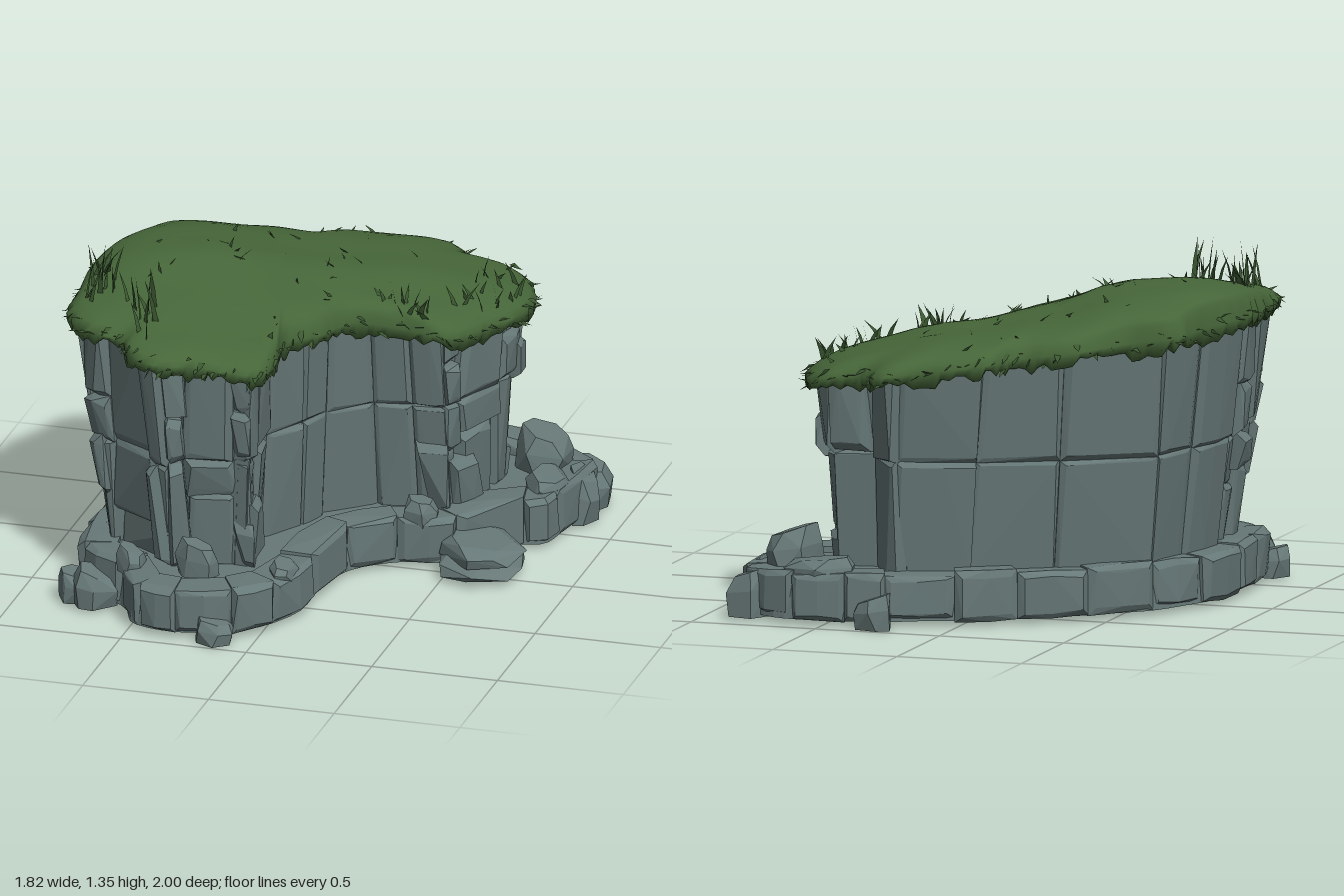
import * as THREE from 'three';
import { mergeGeometries } from 'three/addons/utils/BufferGeometryUtils.js';
import { ConvexGeometry } from 'three/addons/geometries/ConvexGeometry.js';

const V = (x, y, z) => new THREE.Vector3(x, y, z);
const lerp = THREE.MathUtils.lerp;

let seed = 7;
const rnd = (a = 0, b = 1) => {
  seed = (seed * 16807) % 2147483647;
  return a + (b - a) * (seed / 2147483647);
};

// closed plan curve from x, z pairs
const plan = (pairs) => new THREE.CatmullRomCurve3(
  pairs.map(([x, z]) => V(x, 0, z)), true, 'catmullrom', 0.5);

const turf = plan([[-0.87, 0.2], [-0.85, 0], [-0.78, -0.2], [-0.73, -0.37], [-0.55, -0.45], [-0.38, -0.6],
  [-0.2, -0.64], [-0.1, -0.76], [0.1, -0.82], [0.27, -0.88], [0.38, -0.79], [0.55, -0.78], [0.66, -0.62],
  [0.67, -0.45], [0.6, -0.25], [0.5, -0.05], [0.3, -0.03], [0.13, 0.02], [0.05, 0.2], [-0.04, 0.35],
  [-0.02, 0.55], [-0.05, 0.7], [-0.2, 0.73], [-0.3, 0.76], [-0.4, 0.81], [-0.54, 0.76], [-0.6, 0.65],
  [-0.75, 0.62], [-0.84, 0.52], [-0.86, 0.35]]);
const ledge = plan([[-0.8, 0.2], [-0.79, 0], [-0.72, -0.17], [-0.64, -0.32], [-0.51, -0.44], [-0.36, -0.57],
  [-0.2, -0.66], [-0.08, -0.76], [0.1, -0.83], [0.25, -0.91], [0.4, -0.94], [0.55, -0.96], [0.72, -0.93],
  [0.87, -0.77], [0.84, -0.5], [0.8, -0.32], [0.63, -0.25], [0.5, -0.03], [0.32, 0.02], [0.17, 0.15],
  [0.12, 0.35], [0.11, 0.6], [0, 0.81], [-0.15, 0.91], [-0.33, 0.95], [-0.5, 0.9], [-0.58, 0.75],
  [-0.75, 0.65], [-0.8, 0.45]]);
const MID = V(-0.2, 0, -0.2);

// point on a plan curve pushed outward by d, at height y
function offset(curve, t, d, y) {
  const u = ((t % 1) + 1) % 1, p = curve.getPoint(u), g = curve.getTangent(u);
  return V(p.x + g.z * d, y, p.z - g.x * d);
}
// the wall leans outward towards the top
function wallPoint(t, d, y) {
  const f = THREE.MathUtils.clamp((y - 0.2) / 0.8, 0, 1);
  const p = offset(turf, t, d - lerp(0.12, 0.045, f), y);
  p.x += 0.03 * (1 - f);
  return p;
}
const ledgePoint = (t, d, y) => offset(ledge, t, d, y);

// height of the turf's lower edge, and of its top at radial fraction k
const edgeY = (x, z) => 0.99 - 0.12 * x + 0.01 * z;
const hump = (x, z, cx, cz, s) => Math.exp(-((x - cx) ** 2 + (z - cz) ** 2) / s);
const topY = (x, z, k) => edgeY(x, z) + 0.07 * Math.sqrt(Math.max(0, 1 - k ** 10))
  + 0.12 * hump(x, z, -0.48, 0, 0.2) + 0.05 * hump(x, z, 0.2, -0.42, 0.12)
  + 0.008 * Math.sin(x * 13 + z * 5) * Math.sin(z * 11 - x * 4) * (1 - k ** 4);

// skin through equal closed rings, ordered from bottom to top
function loft(rings) {
  const n = rings[0].length, idx = [];
  for (let j = 0; j < rings.length - 1; j++) for (let i = 0; i < n; i++) {
    const a = j * n + i, b = j * n + (i + 1) % n;
    idx.push(a, a + n, b, b, a + n, b + n);
  }
  const g = new THREE.BufferGeometry().setFromPoints(rings.flat());
  g.setIndex(idx);
  g.computeVertexNormals();
  return g;
}
const ring = (n, f) => Array.from({ length: n }, (_, i) => f(i / n, i));
function faceted(g) {
  const f = g.toNonIndexed();
  f.computeVertexNormals();
  return f;
}

// chamfered stone following a curve from t0 to t1 and y0 to y1, skewed sideways with height
function stone(point, t0, t1, y0, y1, out, depth, bevel = 0.018, rough = 0.007, skew = 0) {
  const pts = [], tb = (t1 - t0) * 0.1, j = () => rnd(-rough, rough);
  for (const [y, s] of [[y0, 1], [y1, -1]]) {
    for (const [t, e] of [[t0, 1], [(t0 + t1) / 2, 0], [t1, -1]]) {
      const u = t - s * skew;
      pts.push(point(u + e * tb, out + j(), y + s * bevel + j()));
      pts.push(point(u, out - bevel + j(), y + j()));
      pts.push(point(u, -depth, y));
    }
  }
  return new ConvexGeometry(pts);
}

// loose boulder: angular tapered prism with a tilted top
function boulder([x, z, rx, rz, y0, y1]) {
  const pts = [], n = 6, spin = rnd(0, 6), tilt = rnd(0.1, 0.22);
  for (const [f, k] of [[0, 1], [0.6, 1.03], [1, 0.76]]) for (let i = 0; i < n; i++) {
    const a = spin + i / n * Math.PI * 2 + rnd(-0.25, 0.25), r = k * rnd(0.9, 1.1);
    const y = lerp(y0, y1, f) - f * tilt * (1 + Math.cos(a)) * (y1 - y0);
    pts.push(V(x + Math.cos(a) * rx * r, y, z + Math.sin(a) * rz * r));
  }
  return new ConvexGeometry(pts);
}

// thin pointed leaf from base p, along dir, with width w
function blade(out, p, dir, w) {
  const a = rnd(0, Math.PI), s = V(Math.cos(a) * w, 0, Math.sin(a) * w);
  const m = p.clone().addScaledVector(dir, 0.5), tip = p.clone().add(dir);
  tip.x += dir.x * 0.3;
  tip.z += dir.z * 0.3;
  const l = p.clone().sub(s), r = p.clone().add(s);
  const ml = m.clone().addScaledVector(s, -0.7), mr = m.clone().addScaledVector(s, 0.7);
  out.push(l, r, mr, l, mr, ml, ml, mr, tip);
}

export function createModel() {
  const group = new THREE.Group();
  const rock = new THREE.MeshStandardMaterial({ color: 0x667877 });
  const grass = new THREE.MeshStandardMaterial({ color: 0x466639 });
  const leaf = new THREE.MeshStandardMaterial({ color: 0x3a5730, side: THREE.DoubleSide });
  rock.name = 'grey rock';
  grass.name = 'grass green';
  leaf.name = 'dark grass';
  const add = (name, geo, mat) => {
    const m = new THREE.Mesh(geo, mat);
    m.name = name;
    group.add(m);
  };

  // solid cores behind the stones
  const flat = (n, y) => ring(n, () => V(MID.x, y, MID.z));
  add('baseCore', faceted(loft([flat(90, 0.022), ring(90, (t) => ledgePoint(t, -0.02, 0.022)),
    ring(90, (t) => ledgePoint(t, -0.035, 0.19)), flat(90, 0.2)])), rock);
  add('wallCore', faceted(loft([0.15, 0.6, 1].map((y) => ring(90, (t) => {
    const p = wallPoint(t, -0.05, y);
    if (y === 1) p.y = edgeY(p.x, p.z) + 0.02;
    return p;
  })))), rock);

  // wall: regular stones behind and in the hollow, broken columns elsewhere with an overhanging upper course
  const cuts = [0, 1.6, 3.2, 5, 6.8, 8.6, 10, 11.2, 12.2, 13.3, 14.4, 15.2, 15.9, 16.6, 17.3, 18.1, 19, 20, 20.9,
    21.8, 23, 24.2, 25.4, 26.6, 27.8, 29, 30];
  const splits = [[0.44, 0.63, 0.8], [0.63], [0.34, 0.63], [0.63, 0.82], [0.48, 0.64]];
  const wall = [];
  for (let c = 0; c < cuts.length - 1; c++) {
    const t0 = cuts[c] / 30, t1 = cuts[c + 1] / 30;
    const calm = c < 6 || (cuts[c] > 15 && cuts[c] < 19);
    const p = wallPoint((t0 + t1) / 2, 0, 1);
    const list = calm ? [0.62] : splits[c % 5];
    const ys = [0.17, ...list.map((y) => y + (calm ? 0 : rnd(-0.02, 0.02))), edgeY(p.x, p.z) + 0.025];
    for (let i = 0; i < ys.length - 1; i++) {
      const out = calm ? rnd(-0.006, 0.006) : rnd(-0.015, 0.015) + (ys[i] < 0.57 ? -0.01 : 0.006);
      const w = calm ? 0 : rnd(-0.004, 0.004);
      wall.push(stone(wallPoint, t0 - w, t1 + w, ys[i], ys[i + 1], out, 0.1,
        calm ? 0.016 : 0.024, calm ? 0.005 : 0.012, calm ? 0 : rnd(-0.003, 0.003)));
    }
  }
  // slabs leaning out of the front faces
  for (const [t, w, y0, y1] of [[14.3, 0.7, 0.19, 0.4], [15.4, 0.8, 0.19, 0.47], [21.4, 0.7, 0.19, 0.36],
    [23.4, 0.7, 0.19, 0.62], [25, 0.9, 0.2, 0.6], [27.2, 0.8, 0.4, 0.64], [29.2, 0.7, 0.48, 0.62],
    [12.3, 0.7, 0.6, 0.78], [20, 0.8, 0.19, 0.45]]) {
    wall.push(stone(wallPoint, (t - w / 2) / 30, (t + w / 2) / 30, y0, y1, 0.03, 0.06, 0.03, 0.012, 0.003));
  }
  add('wallStones', mergeGeometries(wall), rock);

  // ledge stones around the foot
  const foot = [], n = 29;
  for (let i = 0; i < n;) {
    const w = i < 9 ? 1.5 : rnd(0.85, 1.5), end = n - i - w < 0.5 ? n : i + w;
    foot.push(stone(ledgePoint, i / n, end / n, rnd(0.02, 0.03), rnd(0.195, 0.215),
      rnd(-0.015, 0.012), 0.14, 0.02, 0.008));
    i = end;
  }
  add('ledgeStones', mergeGeometries(foot), rock);

  // boulders: x, z, radius x, radius z, bottom, top
  add('boulders', mergeGeometries([
    [0.61, -0.05, 0.17, 0.19, 0.02, 0.09], [0.62, -0.06, 0.16, 0.17, 0.07, 0.15],
    [0.82, -0.81, 0.09, 0.11, 0.01, 0.2], [0.85, -0.66, 0.06, 0.09, 0.01, 0.23],
    [0.68, -0.71, 0.11, 0.13, 0.17, 0.36], [0.75, -0.5, 0.08, 0.12, 0.17, 0.26],
    [0.29, -0.93, 0.08, 0.07, 0, 0.14], [0.52, -0.85, 0.15, 0.09, 0.17, 0.26],
    [-0.77, 0.67, 0.08, 0.08, 0.01, 0.13], [-0.69, 0.71, 0.09, 0.08, 0.01, 0.17],
    [-0.15, 0.92, 0.08, 0.07, 0, 0.1], [-0.27, 0.74, 0.08, 0.06, 0.17, 0.34],
    [-0.54, 0.72, 0.06, 0.06, 0.17, 0.28], [0.04, 0.62, 0.05, 0.09, 0.17, 0.24],
    [0.38, -0.05, 0.07, 0.06, 0.17, 0.28],
  ].map(boulder)), rock);

  // turf: ragged lobed lip and a softly domed top
  const N = 220;
  const jag = ring(N, (t) => rnd(-0.025, 0.018) + 0.01 * Math.sin(t * Math.PI * 28));
  const turfRing = (k, y, wob = 0) => ring(N, (t, i) => {
    const p = turf.getPoint(t).sub(MID).multiplyScalar(k + wob * jag[i]).add(MID);
    p.y = y(p.x, p.z, i);
    return p;
  });
  const rings = [
    turfRing(0.88, (x, z) => edgeY(x, z) + 0.01),
    turfRing(1.01, (x, z, i) => edgeY(x, z) - 0.025 + jag[i], 0.5),
    turfRing(1.012, (x, z) => edgeY(x, z) + 0.015, 0.4),
  ];
  for (const k of [0.985, 0.95, 0.9, 0.82, 0.72, 0.6, 0.48, 0.36, 0.24, 0.12, 0]) {
    rings.push(turfRing(k, (x, z) => topY(x, z, k)));
  }
  add('turf', loft(rings), grass);

  // fringe, scattered blades and tall tufts
  const pts = [];
  for (let i = 0; i < 150; i++) {
    const t = (i + rnd()) / 150, p = turf.getPoint(t % 1), d = p.clone().sub(MID).normalize();
    p.addScaledVector(d, -0.005);
    p.y = edgeY(p.x, p.z) + rnd(-0.02, 0.05);
    blade(pts, p, V(d.x * 0.035, rnd(-0.035, 0.02), d.z * 0.035), 0.014);
  }
  const tuft = (count, t0, t1, k0, k1, h) => {
    for (let i = 0; i < count; i++) {
      const k = rnd(k0, k1), p = turf.getPoint(rnd(t0, t1)).sub(MID).multiplyScalar(k).add(MID);
      p.y = topY(p.x, p.z, k) - 0.01;
      blade(pts, p, V(rnd(-0.04, 0.04), h * rnd(0.4, 1), rnd(-0.04, 0.04)), rnd(0.007, 0.014));
    }
  };
  tuft(45, 0, 1, 0.2, 0.95, 0.045);
  tuft(28, 0.4, 0.53, 0.7, 0.95, 0.11);
  tuft(22, 0.82, 0.95, 0.8, 0.93, 0.19);
  tuft(10, 0.92, 0.999, 0.85, 0.97, 0.11);
  const blades = new THREE.BufferGeometry().setFromPoints(pts);
  blades.computeVertexNormals();
  add('grassBlades', blades, leaf);

  return group;
}
